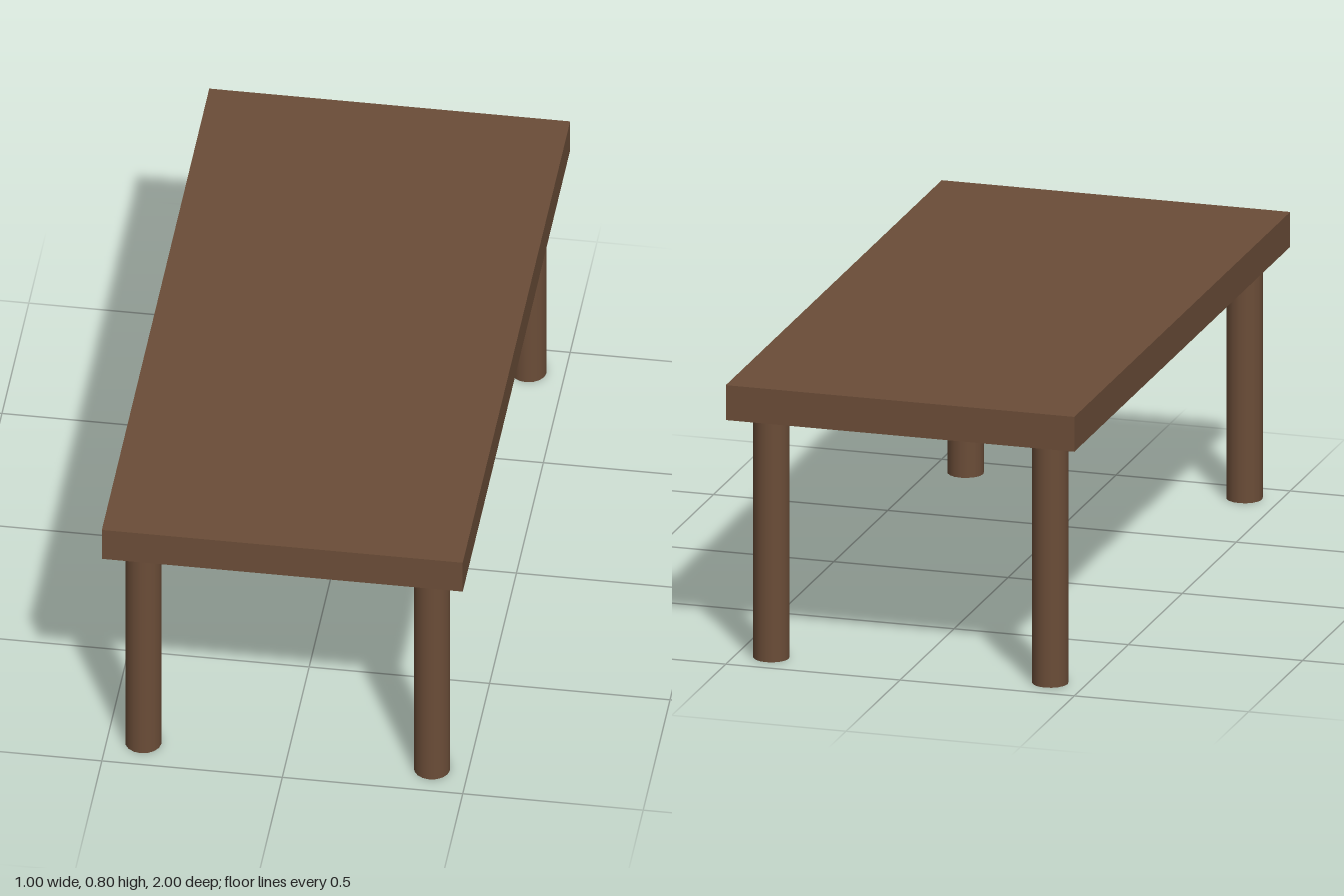
import * as THREE from 'three';

export function createModel() {
  const table = new THREE.Group();
  table.name = 'table';
  const wood = new THREE.MeshStandardMaterial({ color: 0x6b4d38 });

  const height = 0.8, thickness = 0.1, legHeight = height - thickness;

  // Slab top
  const top = new THREE.Mesh(new THREE.BoxGeometry(1, thickness, 2), wood);
  top.name = 'tableTop';
  top.position.y = height - thickness / 2;
  table.add(top);

  // Four round legs, set in from the corners
  const legGeometry = new THREE.CylinderGeometry(0.05, 0.05, legHeight, 16);
  for (const [zName, z] of [['front', 0.9], ['back', -0.9]]) {
    for (const [xName, x] of [['Left', 0.4], ['Right', -0.4]]) {
      const leg = new THREE.Mesh(legGeometry, wood);
      leg.name = `${zName}${xName}Leg`;
      leg.position.set(x, legHeight / 2, z);
      table.add(leg);
    }
  }
  return table;
}
